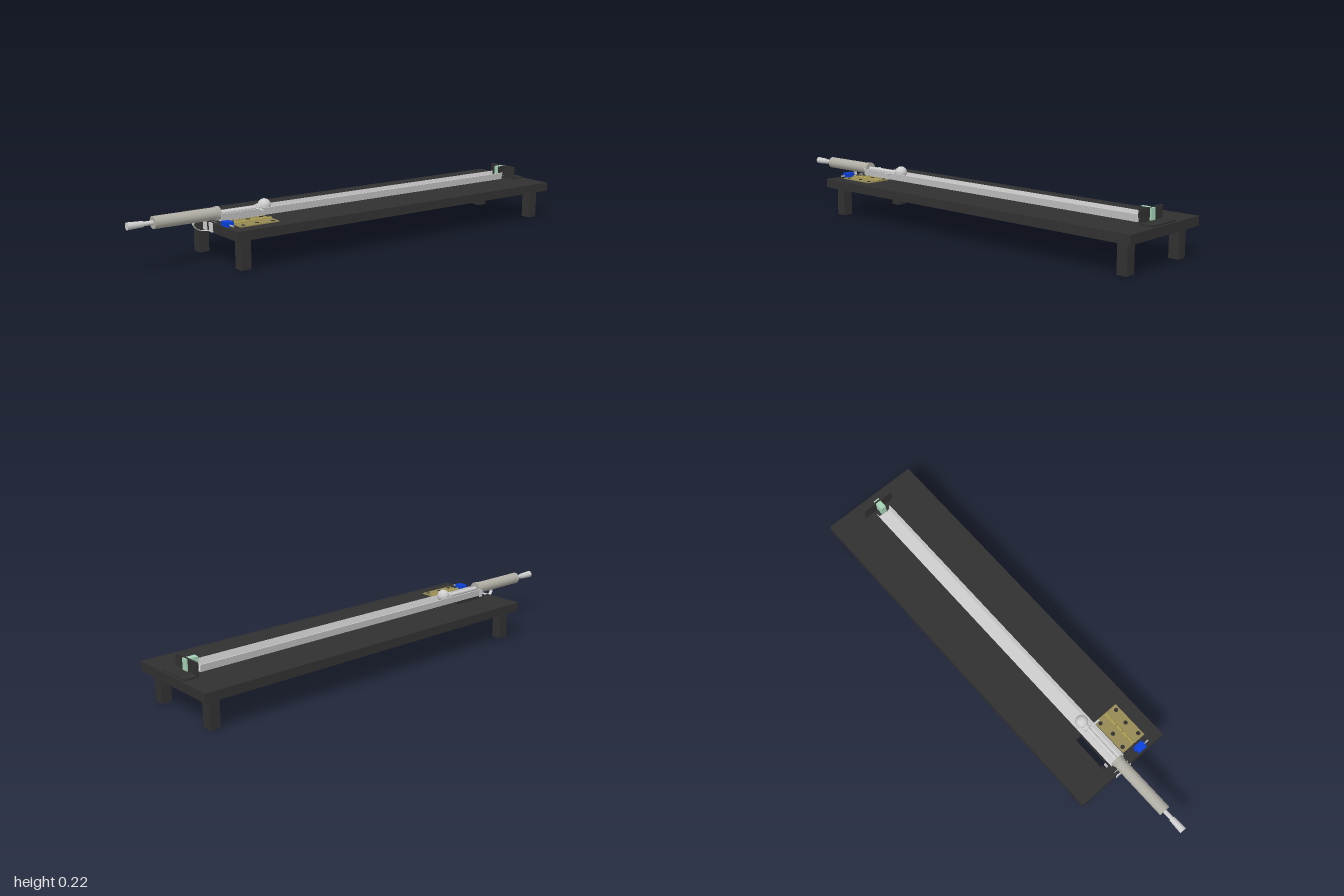
import * as THREE from 'three';

const mat = (name, color) => {
  const m = new THREE.MeshStandardMaterial({ color });
  m.name = name;
  return m;
};

export function createModel() {
  const model = new THREE.Group();
  model.name = 'ballLauncherTable';
  const black = mat('black', 0x313131);
  const silver = mat('silver', 0xcecece);
  const warmGrey = mat('warmGrey', 0xb0aea4);
  const brass = mat('brass', 0x968b55);
  const brightBrass = mat('brightBrass', 0xa89a50);
  const blue = mat('blue', 0x0a40dc);
  const green = mat('green', 0xa4d2b6);

  const add = (name, geo, material, x = 0, y = 0, z = 0) => {
    const mesh = new THREE.Mesh(geo, material);
    mesh.name = name;
    mesh.position.set(x, y, z);
    model.add(mesh);
    return mesh;
  };
  // Box given by its lower and upper limits
  const box = (name, material, x0, x1, y0, y1, z0, z1) =>
    add(name, new THREE.BoxGeometry(x1 - x0, y1 - y0, z1 - z0), material,
      (x0 + x1) / 2, (y0 + y1) / 2, (z0 + z1) / 2);
  // Cylinder along z
  const rod = (name, material, r, z0, z1, x = 0, y = 0.19, n = 32) =>
    add(name, new THREE.CylinderGeometry(r, r, z1 - z0, n).rotateX(Math.PI / 2), material, x, y, (z0 + z1) / 2);
  // Cylinder along x
  const peg = (name, material, r, x0, x1, y, z) =>
    add(name, new THREE.CylinderGeometry(r, r, x1 - x0, 16).rotateZ(Math.PI / 2), material, (x0 + x1) / 2, y, z);

  const rect = (Type, x0, x1, z0, z1) => {
    const p = new Type();
    p.moveTo(x0, z0); p.lineTo(x1, z0); p.lineTo(x1, z1); p.lineTo(x0, z1); p.closePath();
    return p;
  };
  // Horizontal plate extruded downward from yTop
  const plate = (name, shape, yTop, depth, material) =>
    add(name, new THREE.ExtrudeGeometry(shape, { depth, bevelEnabled: false }).rotateX(Math.PI / 2), material, 0, yTop, 0);

  // Table: rim around a panel with the launcher slot
  const rim = rect(THREE.Shape, -0.224, 0.224, -1, 0.66);
  rim.holes.push(rect(THREE.Path, -0.212, 0.212, -0.988, 0.648));
  plate('tableRim', rim, 0.163, 0.038, black);
  const panel = rect(THREE.Shape, -0.213, 0.213, -0.989, 0.649);
  panel.holes.push(rect(THREE.Path, -0.063, -0.029, 0.44, 0.61));
  plate('tablePanel', panel, 0.162, 0.035, black);
  for (const s of [-1, 1])
    for (const z of [0.604, -0.943])
      add('leg', new THREE.BoxGeometry(0.044, 0.128, 0.045), black, s * 0.168, 0.064, z);

  // Rail: flat floor and two steep walls leaning outward
  box('railFloor', silver, -0.029, 0.029, 0.162, 0.167, -0.895, 0.62);
  for (const s of [-1, 1]) {
    const wall = add('railWall', new THREE.BoxGeometry(0.003, 0.03, 1.515), silver, s * 0.031, 0.178, -0.1375);
    wall.rotation.z = -s * 0.22;
  }
  add('ball', new THREE.SphereGeometry(0.027, 32, 20), silver, 0, 0.196, 0.405);

  // Launcher: plunger, barrel and pull knob
  rod('plungerRod', silver, 0.009, 0.43, 0.94);
  rod('plungerHead', silver, 0.015, 0.432, 0.445);
  rod('barrel', warmGrey, 0.025, 0.615, 0.895);
  rod('barrelCollar', warmGrey, 0.028, 0.615, 0.63);
  add('pullKnob', new THREE.CylinderGeometry(0.015, 0.012, 0.065, 32).rotateX(Math.PI / 2), silver, 0, 0.19, 0.9675);
  peg('cockingHandle', silver, 0.004, 0, 0.06, 0.188, 0.445);

  // Side lever beside the slot
  box('sideLever', silver, -0.048, -0.045, 0.163, 0.193, 0.595, 0.612);
  box('leverTail', black, -0.057, -0.055, 0.112, 0.165, 0.59, 0.612);

  // Clamp blocks at the front edge and the curved strap
  for (const s of [-1, 1])
    box('clampBlock', silver, s * 0.024 - 0.014, s * 0.024 + 0.014, 0.125, 0.163, 0.645, 0.664);
  const path = new THREE.CatmullRomCurve3([[0.662, 0.127], [0.69, 0.13], [0.715, 0.142], [0.727, 0.16], [0.722, 0.172]]
    .map(([z, y]) => new THREE.Vector3(0, y, z)));
  add('strap', new THREE.TubeGeometry(path, 24, 0.0015, 6).scale(6.5, 1, 1), silver);

  // Rear bracket and sensor with a dark cover on one side
  box('bracketFoot', black, -0.073, 0.073, 0.162, 0.17, -0.992, -0.93);
  box('bracketPlate', black, -0.073, 0.073, 0.162, 0.22, -0.936, -0.928);
  box('sensor', green, -0.013, 0.013, 0.172, 0.219, -0.943, -0.89);
  box('sensorCover', black, 0.0125, 0.0145, 0.174, 0.22, -0.93, -0.887);

  // Hinge: two leaves, knuckles and screw holes
  for (const s of [-1, 1]) {
    box('hingeLeaf', brass, 0.105 + s * 0.032 - 0.028, 0.105 + s * 0.032 + 0.028, 0.162, 0.166, 0.437, 0.61);
    for (const [dx, z] of [[0.044, 0.457], [0.036, 0.523], [0.044, 0.59]])
      add('screwHole', new THREE.CylinderGeometry(0.009, 0.009, 0.002, 16), black, 0.105 + s * dx, 0.1655, z);
  }
  for (let i = 0; i < 5; i++)
    rod('hingeKnuckle', brightBrass, 0.006, 0.438 + i * 0.0346, 0.47 + i * 0.0346, 0.105, 0.167, 16);

  // Small servo beside the hinge
  box('servoBody', blue, 0.092, 0.133, 0.162, 0.181, 0.622, 0.655);
  box('servoFlange', blue, 0.085, 0.14, 0.164, 0.179, 0.632, 0.639);
  peg('servoShaft', warmGrey, 0.0035, 0.133, 0.158, 0.169, 0.638);

  return model;
}
